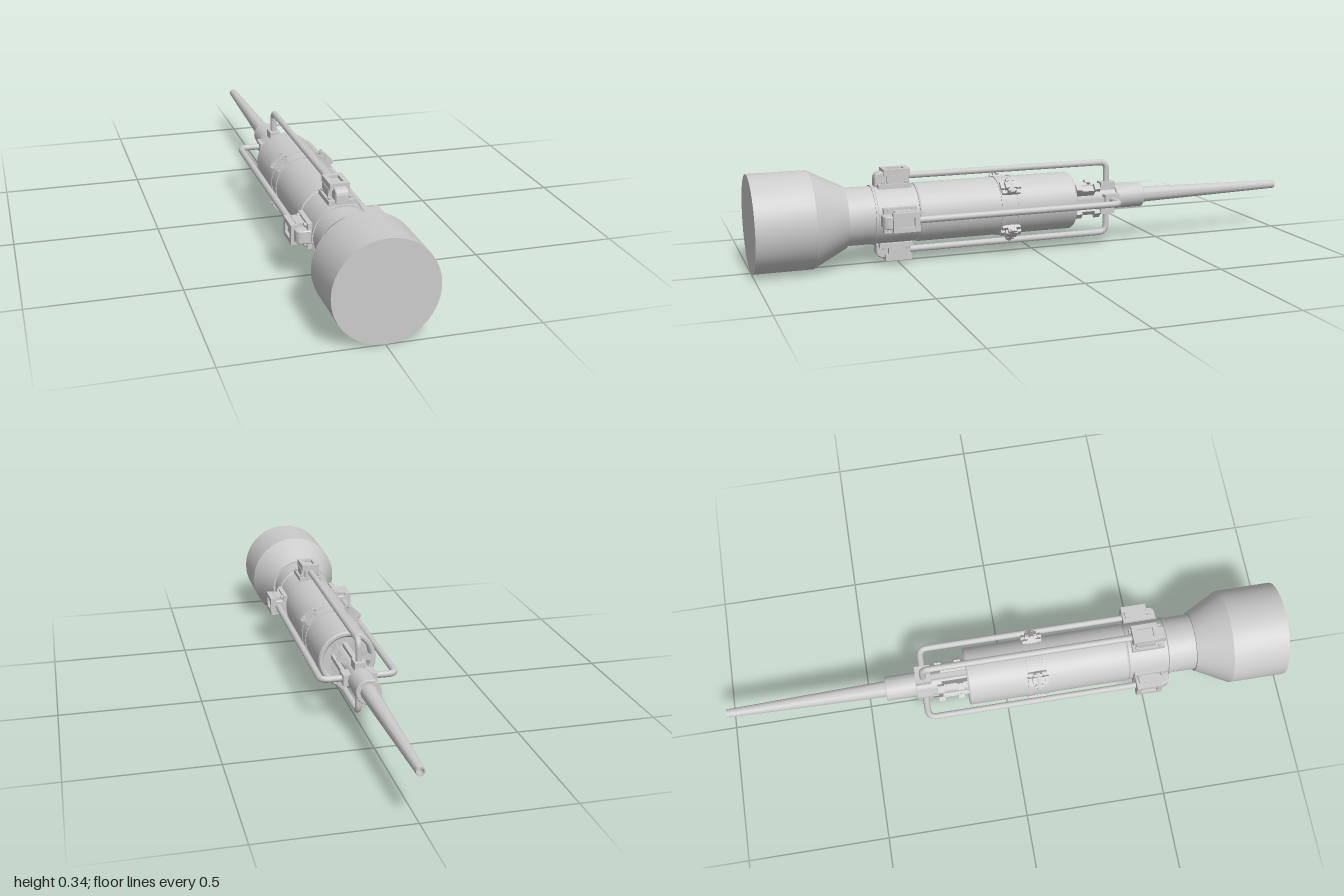
import * as THREE from 'three';
import { toCreasedNormals } from 'three/addons/utils/BufferGeometryUtils.js';

const mat = new THREE.MeshStandardMaterial({ color: 0xcccccc });

function add(parent, name, geo, x = 0, y = 0, z = 0) {
  const m = new THREE.Mesh(geo, mat);
  m.name = name;
  m.position.set(x, y, z);
  parent.add(m);
  return m;
}

// Profile of [radius, z] pairs in ascending z, turned around the z axis
function turned(profile, segments = 36) {
  const g = new THREE.LatheGeometry(profile.map(([r, z]) => new THREE.Vector2(r, z)), segments);
  g.rotateX(Math.PI / 2);
  return toCreasedNormals(g, 0.45);
}

const box = (w, h, d) => new THREE.BoxGeometry(w, h, d);

// Side outline of [z, y] pairs extruded across x, centred
function sideExtrude(shape, width) {
  const bevel = 0.003;
  const g = new THREE.ExtrudeGeometry(shape, {
    depth: width - 2 * bevel, bevelThickness: bevel, bevelSize: bevel, bevelOffset: -bevel,
    bevelSegments: 1, curveSegments: 8,
  });
  g.translate(0, 0, -width / 2 + bevel);
  g.rotateY(-Math.PI / 2);
  return toCreasedNormals(g, 0.5);
}

// Rectangular frame lying in the xz plane, rising from y = 0
function frame(w, d, iw, id, h) {
  const s = new THREE.Shape([[-w, -d], [w, -d], [w, d], [-w, d]].map(([a, b]) => new THREE.Vector2(a / 2, b / 2)));
  s.holes.push(new THREE.Path([[-iw, -id], [-iw, id], [iw, id], [iw, -id]].map(([a, b]) => new THREE.Vector2(a / 2, b / 2))));
  const g = new THREE.ExtrudeGeometry(s, { depth: h, bevelEnabled: false });
  g.rotateX(-Math.PI / 2);
  return g;
}

// Clamp holding the front end of a rail; radial direction is +y
function railClamp() {
  const g = new THREE.Group();
  g.name = 'railClamp';
  add(g, 'clampFoot', box(0.086, 0.016, 0.115), 0, 0.103, 0.51);
  // Housing with a rounded front shoulder
  const s = new THREE.Shape();
  s.moveTo(0.455, 0.1);
  s.lineTo(0.575, 0.1);
  s.lineTo(0.575, 0.128);
  s.quadraticCurveTo(0.575, 0.15, 0.545, 0.15);
  s.lineTo(0.455, 0.15);
  s.closePath();
  add(g, 'clampHousing', sideExtrude(s, 0.044), 0, 0, 0);
  // Raised lid with a window
  add(g, 'clampLid', frame(0.066, 0.092, 0.034, 0.056, 0.022), 0, 0.138, 0.5);
  for (const side of [-1, 1]) {
    add(g, 'clampCheek', box(0.012, 0.04, 0.07), side * 0.029, 0.12, 0.5);
    for (const z of [0.468, 0.55]) {
      const bolt = add(g, 'clampBolt', new THREE.CylinderGeometry(0.007, 0.007, 0.012, 8), side * 0.034, 0.113, z);
      bolt.rotation.y = Math.PI / 8;
    }
  }
  return g;
}

// Bent rail from the clamp to the rear hub
function rail() {
  const r = 0.131, end = -0.293, bend = 0.028;
  const path = new THREE.CurvePath();
  const v = (y, z) => new THREE.Vector3(0, y, z);
  path.add(new THREE.LineCurve3(v(r, 0.47), v(r, end + bend)));
  path.add(new THREE.QuadraticBezierCurve3(v(r, end + bend), v(r, end), v(r - bend, end)));
  path.add(new THREE.LineCurve3(v(r - bend, end), v(0.03, end)));
  return new THREE.TubeGeometry(path, 90, 0.0115, 10, false);
}

// Small latch on the middle band; radial direction is +y
function bandLatch() {
  const g = new THREE.Group();
  g.name = 'bandLatch';
  add(g, 'latchBase', box(0.05, 0.014, 0.066), 0, 0.106, 0.108);
  add(g, 'latchBlock', box(0.026, 0.022, 0.042), 0, 0.118, 0.108);
  const pin = add(g, 'latchPin', new THREE.CylinderGeometry(0.009, 0.009, 0.064, 10), 0, 0.122, 0.108);
  pin.rotation.z = Math.PI / 2;
  for (const side of [-1, 1]) {
    add(g, 'latchLug', box(0.01, 0.022, 0.03), side * 0.021, 0.118, 0.108);
    add(g, 'latchTab', box(0.02, 0.012, 0.014), 0, 0.116, 0.108 + side * 0.03);
  }
  return g;
}

export function createModel() {
  const root = new THREE.Group();
  root.name = 'probeTool';
  const tool = new THREE.Group();
  tool.name = 'tool';
  tool.position.y = 0.17;
  root.add(tool);

  // Flared head with flat front face, and its neck
  add(tool, 'head', turned([
    [0, 0.57], [0.1, 0.57], [0.1, 0.682], [0.107, 0.682], [0.168, 0.8], [0.168, 1], [0, 1],
  ]));
  // Collar under the rail clamps
  add(tool, 'collar', turned([
    [0, 0.42], [0.097, 0.42], [0.097, 0.437], [0.1, 0.44], [0.1, 0.58], [0.104, 0.583], [0.104, 0.59], [0, 0.59],
  ]));
  // Main barrel with a recessed rear end
  add(tool, 'barrel', turned([
    [0, -0.095], [0.084, -0.095], [0.084, -0.135], [0.09, -0.14], [0.099, -0.14],
    [0.103, -0.134], [0.103, 0.432], [0.1, 0.437], [0, 0.437],
  ]));
  add(tool, 'middleBand', turned([
    [0.1, 0.072], [0.106, 0.072], [0.106, 0.086], [0.104, 0.086], [0.104, 0.13],
    [0.106, 0.13], [0.106, 0.145], [0.1, 0.145],
  ]));
  // Rear core, nozzle and hollow needle
  add(tool, 'rearCore', turned([[0, -0.33], [0.036, -0.33], [0.036, -0.09], [0, -0.09]], 24));
  add(tool, 'nozzle', turned([
    [0, -0.43], [0.042, -0.43], [0.044, -0.427], [0.044, -0.323], [0.041, -0.32], [0, -0.32],
  ], 24));
  add(tool, 'needle', turned([
    [0, -0.94], [0.01, -0.94], [0.01, -1], [0.015, -1], [0.029, -0.425], [0, -0.425],
  ], 20));

  for (let i = 0; i < 4; i++) {
    // Rails, clamps and hub sockets on the four sides
    const arm = new THREE.Group();
    arm.name = 'railArm';
    arm.rotation.z = i * Math.PI / 2;
    add(arm, 'rail', rail());
    arm.add(railClamp());
    add(arm, 'railSocket', box(0.038, 0.04, 0.055), 0, 0.039, -0.293);
    add(arm, 'coreRod', box(0.016, 0.02, 0.18), 0, 0.039, -0.18);
    tool.add(arm);

    // Latches and rear fins on the diagonals
    const diagonal = new THREE.Group();
    diagonal.name = 'diagonalFittings';
    diagonal.rotation.z = (i + 0.5) * Math.PI / 2;
    diagonal.add(bandLatch());
    add(diagonal, 'rearFin', box(0.022, 0.036, 0.14), 0, 0.046, -0.16);
    for (const z of [-0.165, -0.235]) add(diagonal, 'finLug', box(0.026, 0.016, 0.022), 0, 0.068, z);
    tool.add(diagonal);
  }
  return root;
}
